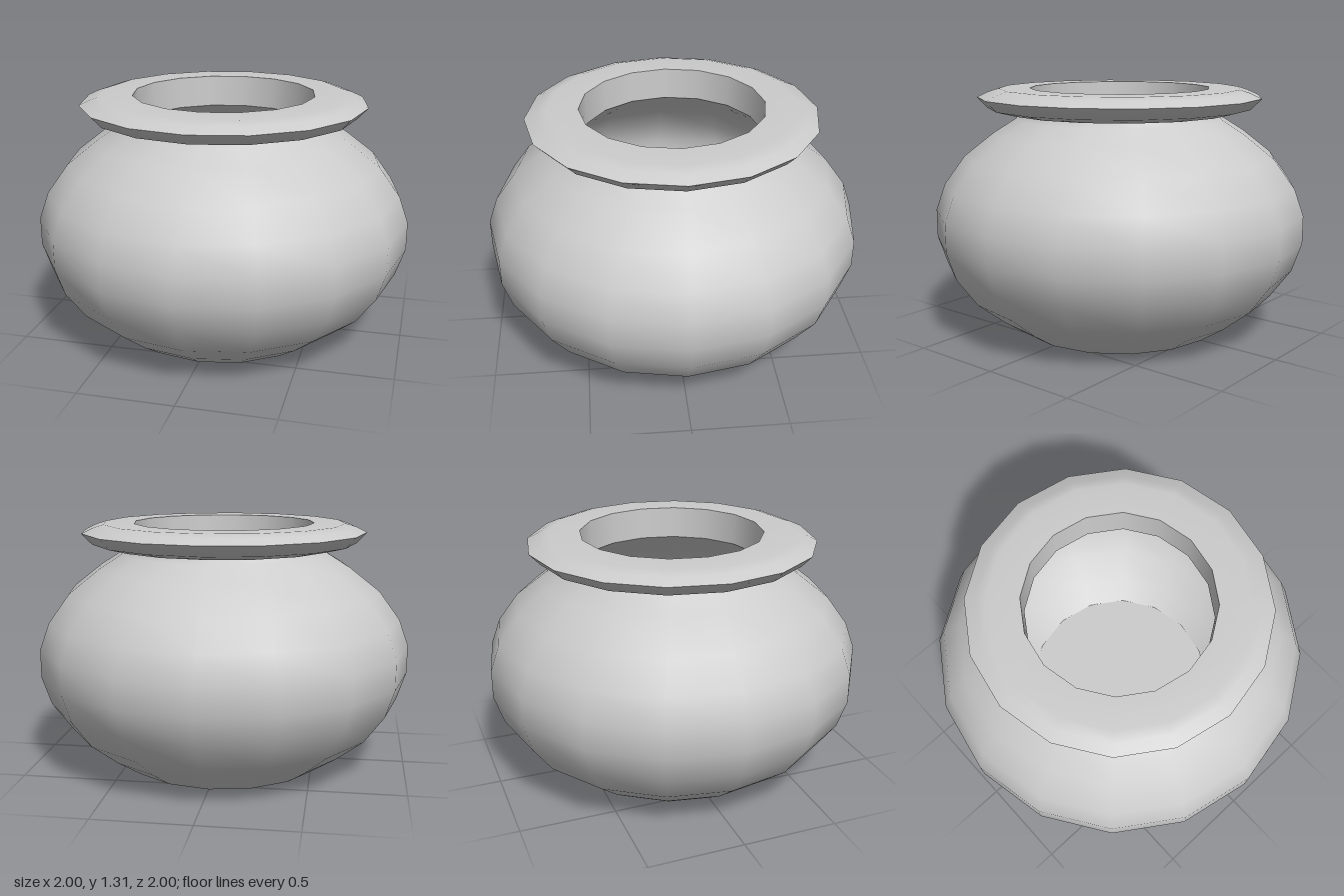
import * as THREE from 'three';

const SIDES = 16;
const material = new THREE.MeshStandardMaterial({ color: 0xcccccc });

// Each lathe is smooth in itself; creases lie where two lathes meet.
// Profiles are [radius, height], running up the outside and down the inside.
function turned(name, profile) {
  const points = profile.map(([r, y]) => new THREE.Vector2(r, y));
  const mesh = new THREE.Mesh(new THREE.LatheGeometry(points, SIDES), material);
  mesh.name = name;
  return mesh;
}

export function createModel() {
  const pot = new THREE.Group();
  pot.name = 'pot';

  // Outer shell: foot, bulging belly, shoulder and short neck
  pot.add(turned('base', [[0, 0], [0.555, 0]]));
  pot.add(turned('belly', [
    [0.555, 0], [0.69, 0.09], [0.84, 0.21], [0.95, 0.36], [1, 0.51], [1, 0.66],
    [0.95, 0.8], [0.84, 0.95], [0.68, 1.075], [0.56, 1.15], [0.54, 1.185],
  ]));

  // Flared rim with a sharp outer edge
  pot.add(turned('rimUnderside', [[0.54, 1.18], [0.6, 1.18], [0.71, 1.207], [0.765, 1.265]]));
  pot.add(turned('rimTop', [[0.765, 1.265], [0.705, 1.293], [0.65, 1.31], [0.485, 1.31]]));

  // Hollow inside
  pot.add(turned('throat', [[0.485, 1.31], [0.48, 1.14]]));
  pot.add(turned('innerWall', [
    [0.48, 1.14], [0.63, 1.03], [0.78, 0.91], [0.88, 0.78], [0.93, 0.65],
    [0.93, 0.52], [0.88, 0.39], [0.78, 0.26], [0.63, 0.14], [0.53, 0.07],
  ]));
  pot.add(turned('innerFloor', [[0.53, 0.07], [0, 0.07]]));

  return pot;
}
